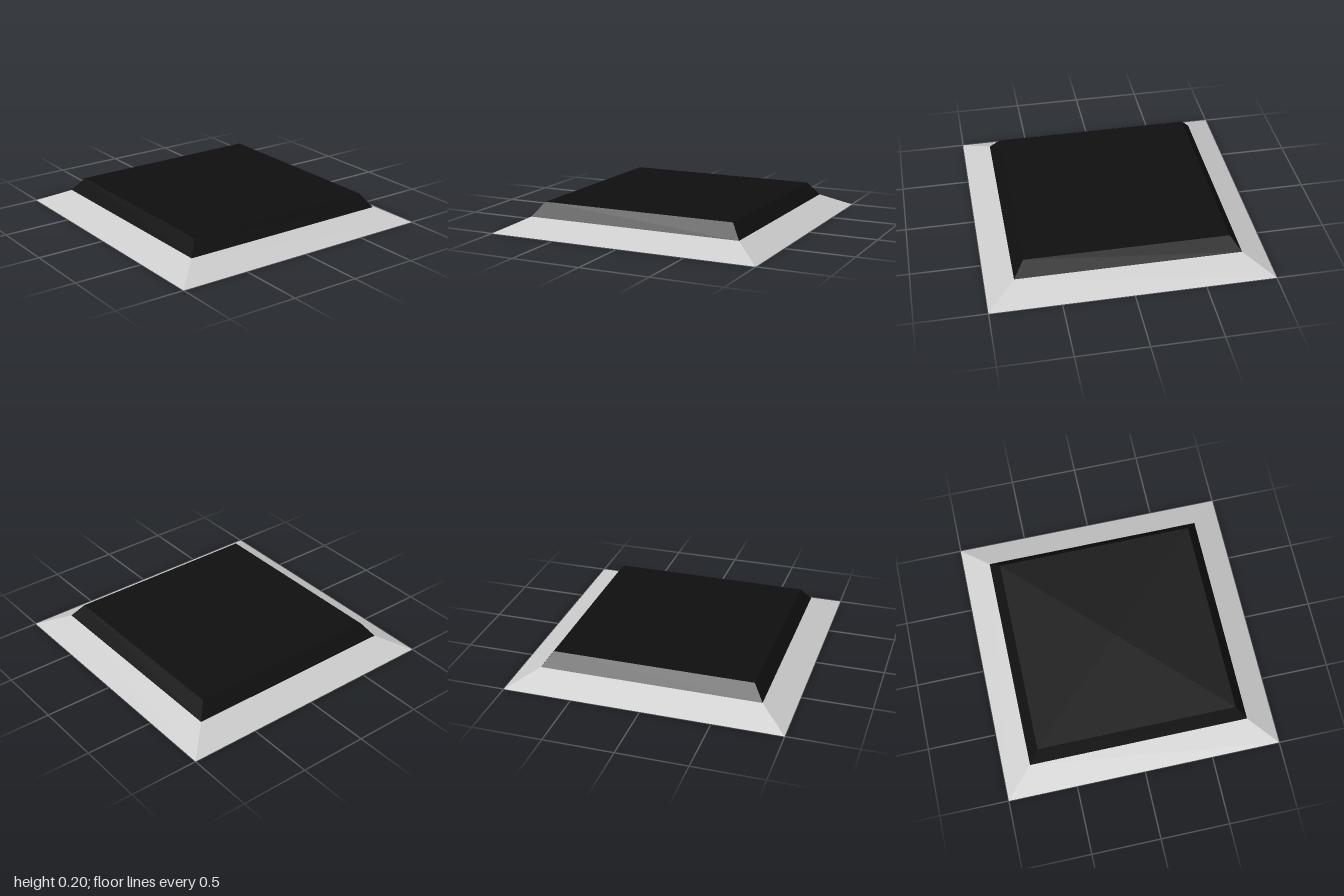
import * as THREE from 'three';

// Revolve a (half-width, height) profile in four segments to make a square solid
function squareLathe(name, profile, color) {
  const points = profile.map(([half, y]) => new THREE.Vector2(half * Math.SQRT2, y));
  const geometry = new THREE.LatheGeometry(points, 4, Math.PI / 4).toNonIndexed();
  geometry.computeVertexNormals();
  const material = new THREE.MeshStandardMaterial({ color, flatShading: true });
  const mesh = new THREE.Mesh(geometry, material);
  mesh.name = name;
  return mesh;
}

export function createModel() {
  const model = new THREE.Group();
  model.name = 'floorButton';

  // Sloped frame, open in the middle
  model.add(squareLathe('frame', [[0.8, 0], [1, 0], [0.8, 0.1], [0.8, 0]], 0xcccccc));

  // Dark bevelled pad resting on the inner rim of the frame
  model.add(squareLathe('pad', [[0, 0.1], [0.8, 0.1], [0.725, 0.2], [0, 0.2]], 0x0f0f0f));

  return model;
}
